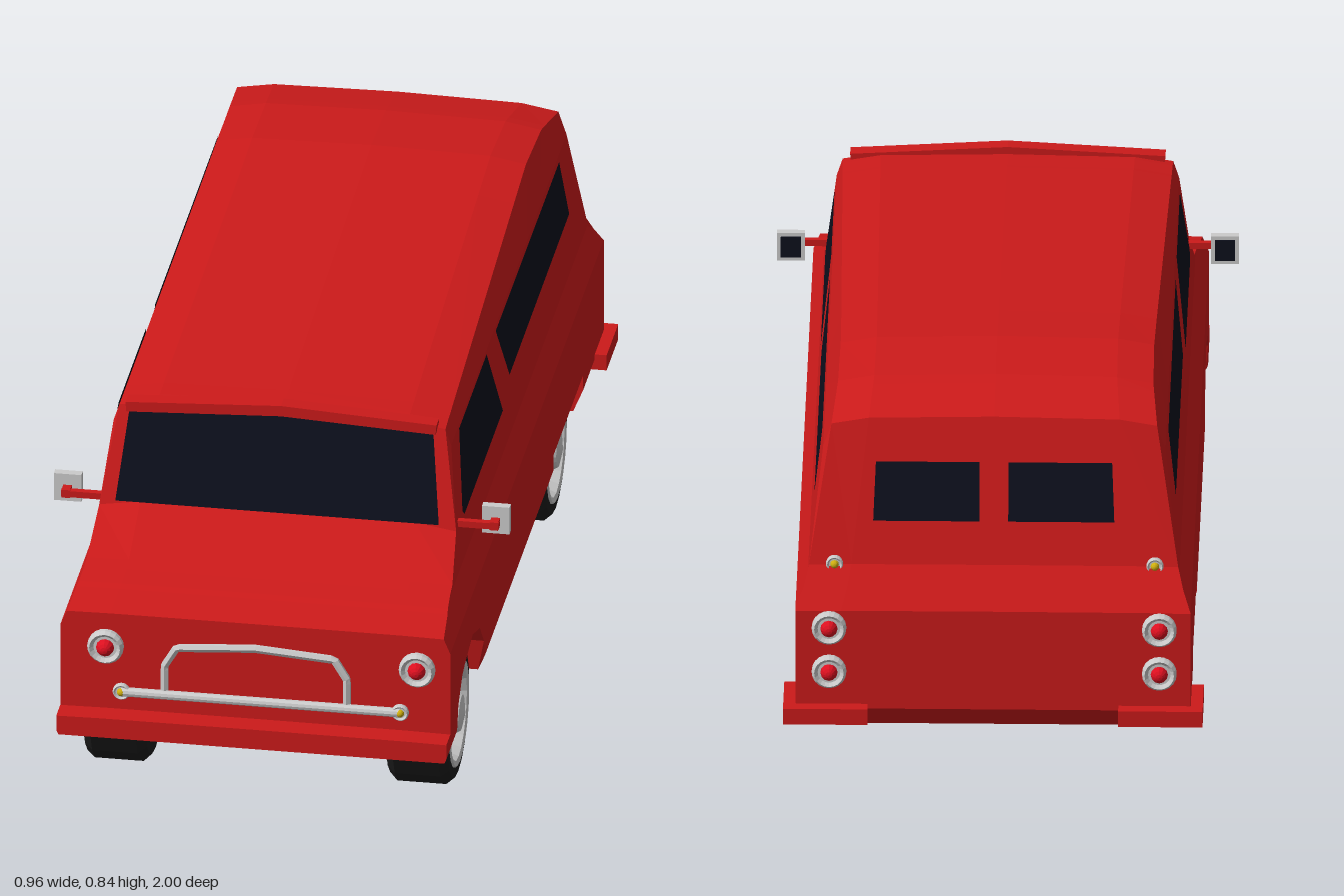
import * as THREE from 'three';

const paint = (color, extra = {}) => new THREE.MeshStandardMaterial({ color, flatShading: true, ...extra });

export function createModel() {
  const van = new THREE.Group();
  van.name = 'van';
  const red = paint(0xcc1a1a), black = paint(0x1c1c1c), grey = paint(0xcccccc);
  const yellow = paint(0xd0b010), lampRed = paint(0xdd1020);
  const glass = paint(0x0c0f1c, { side: THREE.DoubleSide });

  function add(name, geometry, material, x = 0, y = 0, z = 0, parent = van) {
    const mesh = new THREE.Mesh(geometry, material);
    mesh.name = name;
    mesh.position.set(x, y, z);
    parent.add(mesh);
    return mesh;
  }
  function fromTriangles(points) {
    const g = new THREE.BufferGeometry().setFromPoints(points);
    g.computeVertexNormals();
    return g;
  }
  // Flat convex panel from corner points
  function panel(name, corners, material) {
    const p = corners.map(c => new THREE.Vector3(...c)), tris = [];
    for (let i = 1; i < p.length - 1; i++) tris.push(p[0], p[i], p[i + 1]);
    return add(name, fromTriangles(tris), material);
  }

  // Half width of the body at a given height
  const widths = [[0.14, 0.385], [0.2, 0.41], [0.42, 0.41], [0.48, 0.385], [0.73, 0.355], [0.82, 0.325]];
  function halfWidth(y) {
    for (let i = 1; i < widths.length; i++) {
      const [y0, w0] = widths[i - 1], [y1, w1] = widths[i];
      if (y <= y1) return THREE.MathUtils.mapLinear(y, y0, y1, w0, w1);
    }
    return 0.325;
  }

  // Body: cross-sections from nose to tail as [z, bottom, top]; arches are cut by the bottom line
  const stations = [
    [1, 0.19, 0.235], [0.95, 0.19, 0.235], [0.95, 0.19, 0.455], [0.865, 0.19, 0.47],
    [0.85, 0.25, 0.475], [0.8, 0.295, 0.484], [0.77, 0.305, 0.49], [0.67, 0.325, 0.58],
    [0.61, 0.305, 0.785], [0.58, 0.295, 0.787], [0.53, 0.24, 0.789], [0.515, 0.165, 0.79],
    [-0.34, 0.152, 0.832], [-0.34, 0.235, 0.832], [-0.5, 0.235, 0.842], [-0.68, 0.235, 0.832],
    [-0.71, 0.235, 0.826], [-0.71, 0.15, 0.826], [-0.83, 0.15, 0.8], [-0.91, 0.15, 0.5],
    [-0.94, 0.155, 0.46], [-0.97, 0.2, 0.42],
  ];
  const rings = stations.map(([z, bottom, top]) => {
    const drop = top > 0.55 ? 0.018 : 0.002;
    const half = [0, 0.2, 0.42, 0.48, 0.73, 1].map(level => {
      const y = THREE.MathUtils.clamp(level, bottom, top - drop);
      return [halfWidth(y), y];
    });
    half.push([0.77 * half[5][0], top - drop * 0.25]);
    const left = half.map(([x, y]) => new THREE.Vector3(x, y, z));
    const right = half.map(([x, y]) => new THREE.Vector3(-x, y, z)).reverse();
    return [new THREE.Vector3(0, bottom, z), ...left, new THREE.Vector3(0, top, z), ...right];
  });
  const tris = [], n = rings[0].length;
  for (let i = 0; i < rings.length - 1; i++) {
    for (let j = 0; j < n; j++) {
      const k = (j + 1) % n;
      const a = rings[i][j], b = rings[i][k], c = rings[i + 1][k], d = rings[i + 1][j];
      tris.push(a, d, c, a, c, b);
    }
  }
  const nose = rings[0], tail = rings[rings.length - 1];
  for (let j = 1; j < n - 1; j++) {
    tris.push(nose[0], nose[j], nose[j + 1], tail[0], tail[j + 1], tail[j]);
  }
  add('body', fromTriangles(tris), red);

  // Roof lip above the windscreen
  const lip = new THREE.Shape([[-0.325, 0.762], [0, 0.778], [0.325, 0.762], [0.327, 0.784], [0, 0.802], [-0.327, 0.784]]
    .map(p => new THREE.Vector2(...p)));
  add('roofLip', new THREE.ExtrudeGeometry(lip, { depth: 0.035, bevelEnabled: false }), red, 0, 0, 0.595);

  // Glass
  const screenZ = y => 0.678 - (y - 0.58) * 0.293;
  panel('windscreen', [[-0.34, 0.578], [0.34, 0.578], [0.32, 0.76], [0, 0.777], [-0.32, 0.76]]
    .map(([x, y]) => [x, y, screenZ(y)]), glass);
  const sideWindows = {
    cabWindow: [[0.6, 0.575], [0.53, 0.73], [0.187, 0.73], [0.105, 0.56], [0.585, 0.56]],
    rearSideWindow: [[0.075, 0.728], [-0.715, 0.724], [-0.745, 0.59], [0, 0.59]],
  };
  for (const s of [-1, 1]) {
    for (const [name, pts] of Object.entries(sideWindows)) {
      panel(name, pts.map(([z, y]) => [s * (halfWidth(y) + 0.003), y, z]), glass);
    }
    panel('backWindow', [[0.03, 0.59], [0.25, 0.59], [0.245, 0.71], [0.03, 0.71]]
      .map(([x, y]) => [s * x, y, -0.836 - (0.8 - y) * 0.267]), glass);
  }

  // Wheels and axles
  const profile = pts => new THREE.LatheGeometry(pts.map(p => new THREE.Vector2(...p)), 20);
  const tyre = profile([[0, -0.065], [0.135, -0.065], [0.152, -0.048], [0.152, 0.048], [0.137, 0.065], [0.115, 0.065], [0.11, 0.04]]);
  const hub = profile([[0.12, 0.06], [0.113, 0.069], [0.102, 0.066], [0.094, 0.045], [0.075, 0.052], [0.045, 0.06], [0.038, 0.072], [0, 0.08]]);
  for (const z of [0.69, -0.53]) {
    for (const s of [-1, 1]) {
      const wheel = new THREE.Group();
      wheel.name = 'wheel';
      wheel.position.set(s * 0.318, 0.152, z);
      wheel.rotation.z = -s * Math.PI / 2;
      add('tyre', tyre, black, 0, 0, 0, wheel);
      add('hubcap', hub, grey, 0, 0, 0, wheel);
      van.add(wheel);
    }
    add('axle', new THREE.CylinderGeometry(0.014, 0.014, 0.56, 10), black, 0, 0.152, z).rotation.z = Math.PI / 2;
  }

  // Round lamp: stepped grey rim around a coloured lens, facing front (1) or back (-1)
  const rim = profile([[1, 0], [1, 0.4], [0.85, 0.6], [0.65, 0.4], [0, 0.4]]);
  const lens = new THREE.SphereGeometry(0.5, 12, 8);
  function lamp(name, x, y, z, r, facing, material) {
    const g = new THREE.Group();
    g.name = name;
    g.position.set(x, y, z);
    g.rotation.x = facing * Math.PI / 2;
    g.scale.setScalar(r);
    add('lampRim', rim, grey, 0, 0, 0, g);
    add('lampLens', lens, material, 0, 0.4, 0, g);
    van.add(g);
  }
  for (const x of [-0.314, 0.341]) lamp('headlight', x, 0.38, 0.945, 0.038, 1, lampRed);
  for (const x of [-0.28, 0.306]) lamp('indicator', x, 0.28, 0.955, 0.018, 1, yellow);
  for (const x of [-0.345, 0.34]) {
    for (const y of [0.383, 0.285]) lamp('tailLight', x, y, -0.965, 0.036, -1, lampRed);
    lamp('rearIndicator', x * 0.97, 0.5, -0.905, 0.018, -1, yellow);
  }

  // Grille trim and bar
  const bar = add('grilleBar', new THREE.CylinderGeometry(0.01, 0.01, 0.586, 10), grey, 0.013, 0.28, 0.96);
  bar.rotation.z = Math.PI / 2;
  const trim = new THREE.CurvePath();
  const trimPoints = [[-0.19, 0.28], [-0.19, 0.345], [-0.165, 0.388], [0, 0.4], [0.167, 0.388], [0.193, 0.345], [0.193, 0.28]]
    .map(([x, y]) => new THREE.Vector3(x, y, 0.953));
  for (let i = 1; i < trimPoints.length; i++) trim.add(new THREE.LineCurve3(trimPoints[i - 1], trimPoints[i]));
  add('grilleTrim', new THREE.TubeGeometry(trim, 60, 0.009, 6), grey);

  for (const s of [-1, 1]) {
    // Rear corner bumpers
    add('rearBumper', new THREE.BoxGeometry(0.175, 0.035, 0.04), red, s * 0.3475, 0.193, -0.98);
    add('rearBumperSide', new THREE.BoxGeometry(0.035, 0.035, 0.13), red, s * 0.4175, 0.193, -0.92);
    // Door mirrors
    add('mirrorArm', new THREE.BoxGeometry(0.1, 0.014, 0.014), red, s * 0.41, 0.567, 0.638);
    add('mirrorStem', new THREE.BoxGeometry(0.018, 0.018, 0.03), red, s * 0.45, 0.567, 0.63);
    add('mirrorCase', new THREE.BoxGeometry(0.058, 0.062, 0.018), grey, s * 0.45, 0.57, 0.612);
    add('mirrorGlass', new THREE.BoxGeometry(0.042, 0.046, 0.004), glass, s * 0.45, 0.57, 0.602);
  }
  return van;
}
